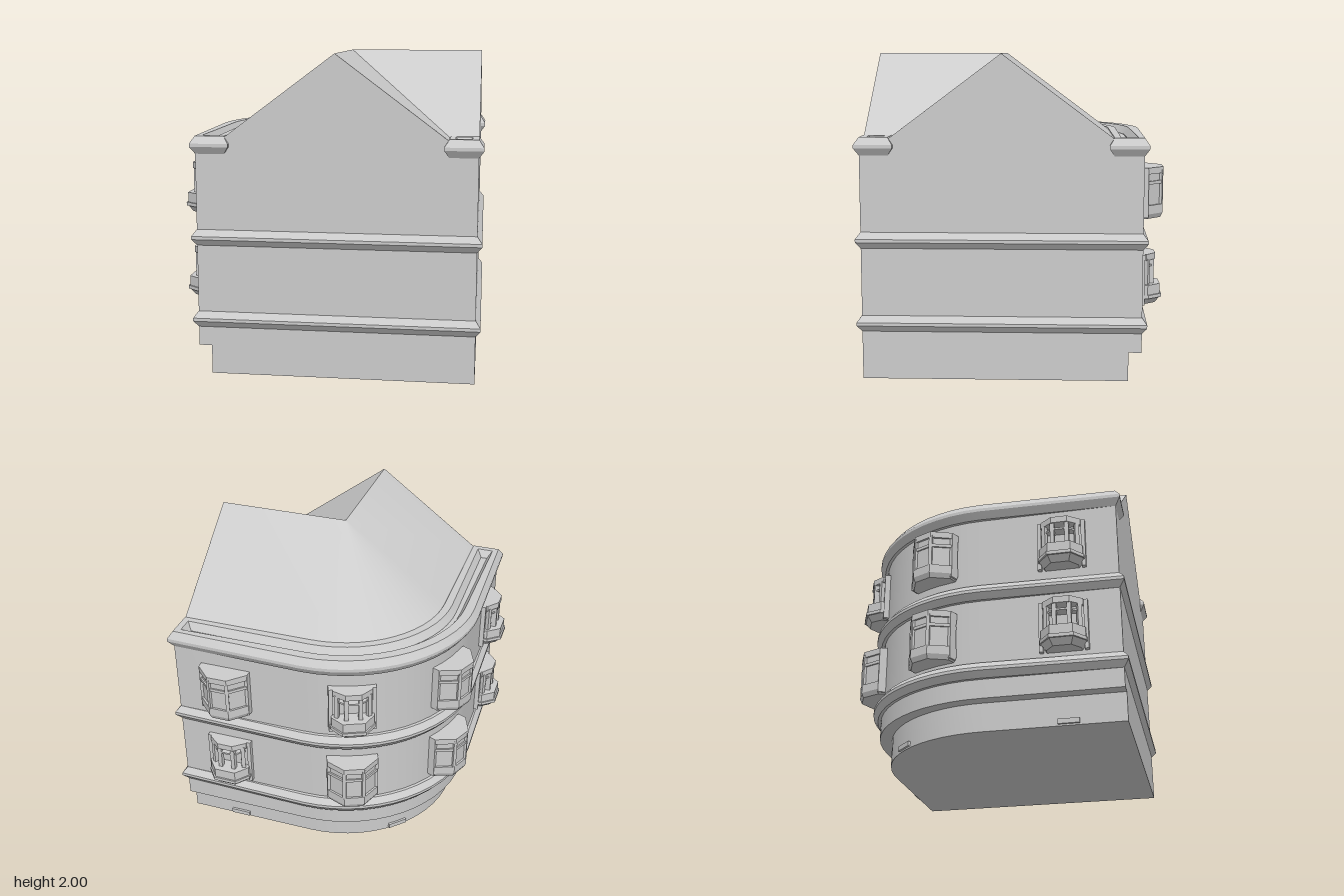
import * as THREE from 'three';
import { toCreasedNormals } from 'three/addons/utils/BufferGeometryUtils.js';

const mat = new THREE.MeshStandardMaterial({ color: 0xcccccc });
const thinMat = new THREE.MeshStandardMaterial({ color: 0xcccccc, side: THREE.DoubleSide });
const C = 0.05, F = 0.91, SEG = 14;
const rad = THREE.MathUtils.degToRad;

function add(parent, name, geo, material = mat) {
  const mesh = new THREE.Mesh(geo, material);
  mesh.name = name;
  parent.add(mesh);
  return mesh;
}

// Plan edge of the curved facade (plan y points to the back): straight, quarter round, straight
function facadeEdge(r, end, front = F) {
  const pts = [new THREE.Vector2(front, end)];
  for (let i = 0; i <= SEG; i++) {
    const a = Math.PI / 2 * (1 + i / SEG);
    pts.push(new THREE.Vector2(C + r * Math.cos(a), -C + r * Math.sin(a)));
  }
  pts.push(new THREE.Vector2(-end, -front));
  return pts;
}
const planShape = (r, end) => new THREE.Shape([new THREE.Vector2(F, -F), ...facadeEdge(r, end)]);

// Extrude a plan upward from y0 to y1, optionally with chamfered edges
function extrudeUp(shape, y0, y1, bevel = 0, bevelHeight = 0) {
  const geo = new THREE.ExtrudeGeometry(shape, {
    depth: y1 - y0 - 2 * bevelHeight, bevelEnabled: bevel > 0,
    bevelSize: bevel, bevelThickness: bevelHeight, bevelSegments: 1, curveSegments: 1,
  });
  geo.rotateX(-Math.PI / 2).translate(0, y0 + bevelHeight, 0);
  return toCreasedNormals(geo, 0.4);
}

function square(a, b) {
  return [[a, -b], [b, -b], [b, -a], [a, -a]].map(p => new THREE.Vector2(...p));
}

// Roof: outer eave, ridge and inner eave joined by strips; the round corner is a cone
function roofGeometry() {
  const slope = 0.5 / 0.67, ro = 0.70, inner = 0.74;
  const eave = facadeEdge(ro, ro - C).map(p => [p.x, 2 - slope * ro, -p.y]);
  const n = eave.length - 1;
  const ridge = eave.map((_, i) => [i === 0 ? F : C, 2, i === n ? F : C]);
  const yi = 2 - slope * (inner - C);
  const pos = [];
  const tri = (...p) => p.forEach(v => pos.push(...v));
  for (let i = 0; i < n; i++) {
    tri(eave[i], ridge[i], eave[i + 1]);
    if (i === 0 || i === n - 1) tri(ridge[i], ridge[i + 1], eave[i + 1]);
  }
  const apex = [C, 2, C], low = [inner, yi, inner];
  tri(ridge[0], [F, yi, inner], low);
  tri(ridge[0], low, apex);
  tri(apex, low, [inner, yi, F]);
  tri(apex, [inner, yi, F], ridge[n]);
  const geo = new THREE.BufferGeometry();
  geo.setAttribute('position', new THREE.Float32BufferAttribute(pos, 3));
  return toCreasedNormals(geo, 0.4);
}

// Slab with a mirrored three-sided bay plan; taper narrows its underside
function baySlab(wide, narrow, shoulder, depth, y0, y1, taper = 1) {
  const half = [[wide, 0.02], [wide, -shoulder], [narrow, -depth]];
  const pts = [...half, ...half.map(([x, y]) => [-x, y]).reverse()].map(p => new THREE.Vector2(...p));
  const geo = new THREE.ExtrudeGeometry(new THREE.Shape(pts), { depth: y1 - y0, bevelEnabled: false });
  geo.rotateX(-Math.PI / 2).translate(0, y0, 0);
  const p = geo.attributes.position;
  for (let i = 0; i < p.count; i++) {
    if (p.getY(i) < y0 + 1e-4) p.setXYZ(i, p.getX(i) * taper, y0, p.getZ(i) * taper);
  }
  geo.computeVertexNormals();
  return geo;
}

function box(parent, name, w, h, d, x, y, z, ry = 0) {
  const mesh = add(parent, name, new THREE.BoxGeometry(w, h, d));
  mesh.position.set(x, y, z);
  mesh.rotation.y = ry;
}

// Closed bay: recessed glazing behind sill, transom, head and corner posts
function closedBay() {
  const g = new THREE.Group();
  g.name = 'closedBayWindow';
  add(g, 'bayGlazing', baySlab(0.152, 0.058, 0.036, 0.127, 0.02, 0.31));
  add(g, 'bayUnderside', baySlab(0.165, 0.065, 0.04, 0.14, 0, 0.03, 0.9));
  add(g, 'baySill', baySlab(0.165, 0.065, 0.04, 0.14, 0.03, 0.085));
  add(g, 'bayTransom', baySlab(0.162, 0.064, 0.04, 0.136, 0.215, 0.235));
  add(g, 'bayHead', baySlab(0.165, 0.065, 0.04, 0.14, 0.28, 0.32));
  for (const s of [-1, 1]) {
    box(g, 'bayCornerPost', 0.022, 0.22, 0.02, s * 0.06, 0.19, 0.128, s * 0.4);
    box(g, 'bayWallPost', 0.02, 0.3, 0.055, s * 0.155, 0.16, 0.015);
  }
  return g;
}

// Open bay: wall frame with mullions above a stepped projecting base
function openBay() {
  const g = new THREE.Group();
  g.name = 'openBayWindow';
  add(g, 'baseUnderside', baySlab(0.135, 0.07, 0.05, 0.13, 0, 0.04, 0.78));
  add(g, 'baseLedge', baySlab(0.142, 0.075, 0.055, 0.14, 0.04, 0.062));
  add(g, 'baseParapet', baySlab(0.135, 0.07, 0.05, 0.13, 0.062, 0.125));
  add(g, 'windowHead', baySlab(0.125, 0.05, 0.04, 0.10, 0.28, 0.32));
  box(g, 'windowPane', 0.25, 0.2, 0.04, 0, 0.21, 0);
  for (const s of [-1, 1]) {
    box(g, 'sideFrame', 0.025, 0.32, 0.06, s * 0.137, 0.16, 0);
    box(g, 'outerMullion', 0.026, 0.17, 0.026, s * 0.1, 0.205, 0.045, s * 0.5);
    box(g, 'innerMullion', 0.026, 0.17, 0.035, s * 0.045, 0.205, 0.075);
  }
  box(g, 'topFrame', 0.29, 0.03, 0.06, 0, 0.305, 0);
  add(g, 'windowRail', baySlab(0.11, 0.045, 0.035, 0.09, 0.235, 0.247));
  return g;
}

export function createModel() {
  const model = new THREE.Group();
  model.name = 'cornerBuilding';

  // Walls and string courses
  add(model, 'base', extrudeUp(planShape(0.78, 0.73), 0, 0.18));
  add(model, 'walls', extrudeUp(planShape(0.86, 0.81), 0.18, 1.45));
  for (const y of [0.3, 0.82]) {
    add(model, 'stringCourse', extrudeUp(planShape(0.88, 0.81), y, y + 0.1, 0.03, 0.04));
  }

  // Cornice with a gutter, and the matching block at the inner corner
  const cornice = new THREE.Shape([...facadeEdge(0.88, 0.81), ...facadeEdge(0.68, 0.63).reverse()]);
  cornice.holes.push(new THREE.Path([...facadeEdge(0.82, 0.775, 0.87), ...facadeEdge(0.73, 0.67, 0.87).reverse()]));
  add(model, 'cornice', extrudeUp(cornice, 1.39, 1.5, 0.03, 0.045));
  const block = new THREE.Shape(square(0.735, F));
  block.holes.push(new THREE.Path(square(0.77, 0.87)));
  add(model, 'cornerCornice', extrudeUp(block, 1.39, 1.5, 0.03, 0.045));

  // Roof and its two gable ends
  add(model, 'roof', roofGeometry(), thinMat);
  const gable = new THREE.Shape([[-0.65, 1.44], [0.74, 1.44], [0.74, 1.485], [C, 2], [-0.65, 1.478]]
    .map(p => new THREE.Vector2(...p)));
  add(model, 'frontGable', new THREE.ShapeGeometry(gable), thinMat).position.z = F;
  const side = add(model, 'sideGable', new THREE.ShapeGeometry(gable), thinMat);
  side.position.x = F;
  side.rotation.y = -Math.PI / 2;

  // Bay windows in four columns: x, z, turn from the back, lower and upper kind
  const onArc = a => [C - 0.86 * Math.sin(rad(a)), C - 0.86 * Math.cos(rad(a))];
  const columns = [
    [0.565, -0.81, 0, openBay, closedBay],
    [...onArc(21), 24, closedBay, openBay],
    [...onArc(69), 66, closedBay, closedBay],
    [-0.81, 0.565, 90, openBay, openBay],
  ];
  for (const [x, z, turn, ...kinds] of columns) {
    kinds.forEach((make, floor) => {
      const bay = make();
      bay.position.set(x, [0.43, 0.98][floor], z);
      bay.rotation.y = Math.PI + rad(turn);
      model.add(bay);
    });
  }

  // Small plates at the foot of the base
  for (const [x, z, turn] of [[0.565, -0.73, 0], [C - 0.55, C - 0.55, 45], [-0.73, 0.565, 90]]) {
    box(model, 'footPlate', 0.13, 0.03, 0.03, x, 0.025, z, Math.PI + rad(turn));
  }
  return model;
}
